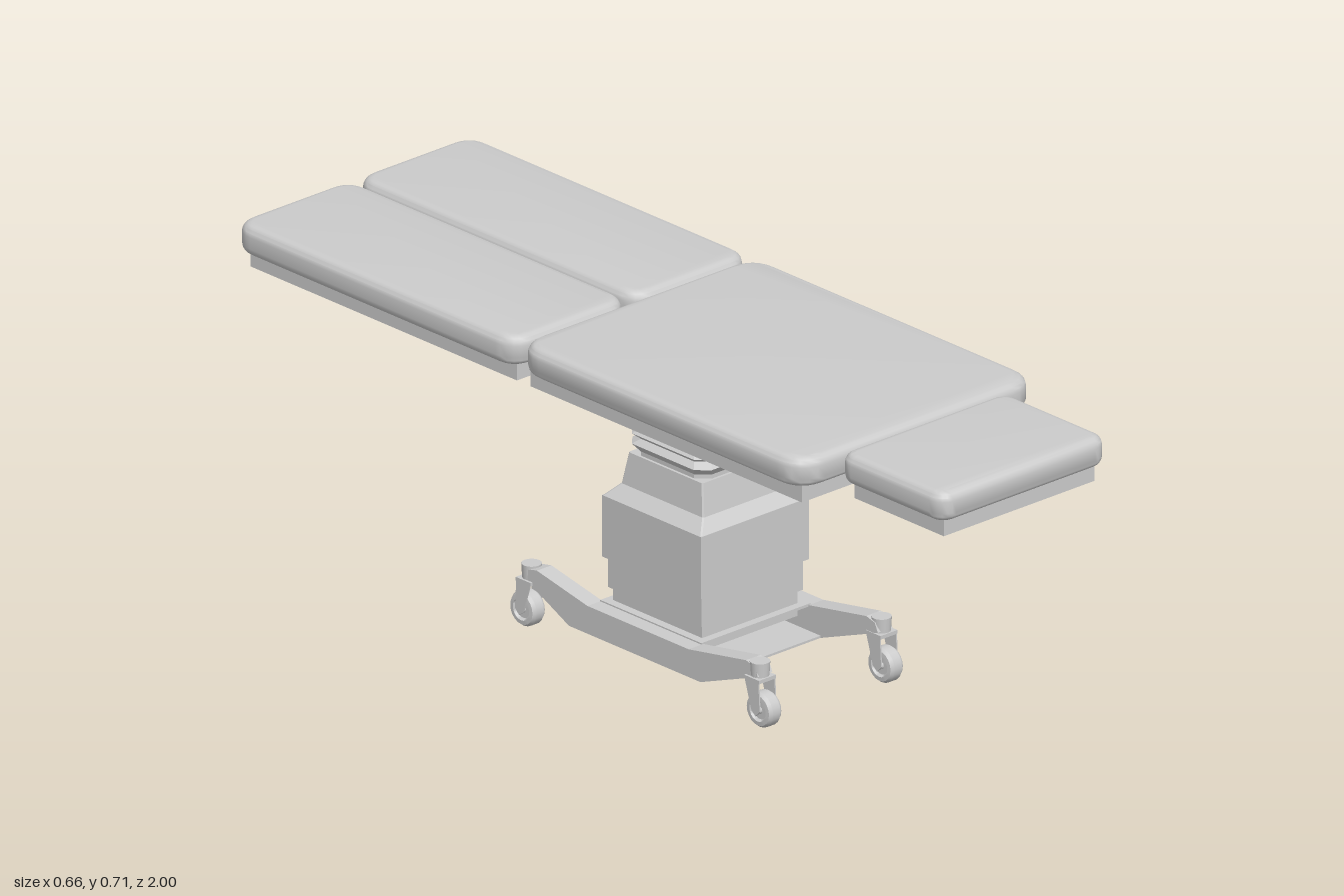
import * as THREE from 'three';
import { toCreasedNormals } from 'three/addons/utils/BufferGeometryUtils.js';

const grey = new THREE.MeshStandardMaterial({ color: 0xcccccc, side: THREE.DoubleSide });

function add(parent, name, geometry, x = 0, y = 0, z = 0) {
  const mesh = new THREE.Mesh(geometry, grey);
  mesh.name = name;
  mesh.position.set(x, y, z);
  parent.add(mesh);
  return mesh;
}

// Box given by its limits on each axis
function block(parent, name, [x0, x1], [y0, y1], [z0, z1]) {
  return add(parent, name, new THREE.BoxGeometry(x1 - x0, y1 - y0, z1 - z0),
    (x0 + x1) / 2, (y0 + y1) / 2, (z0 + z1) / 2);
}

// Rounded pad lying flat, with a soft bevelled rim
function cushion(parent, name, [x0, x1], [z0, z1], radius) {
  const bevel = 0.02, y0 = 0.645, y1 = 0.71;
  const a = (x1 - x0) / 2 - bevel, b = (z1 - z0) / 2 - bevel, r = radius;
  const s = new THREE.Shape();
  s.moveTo(-a + r, -b);
  s.lineTo(a - r, -b); s.quadraticCurveTo(a, -b, a, -b + r);
  s.lineTo(a, b - r); s.quadraticCurveTo(a, b, a - r, b);
  s.lineTo(-a + r, b); s.quadraticCurveTo(-a, b, -a, b - r);
  s.lineTo(-a, -b + r); s.quadraticCurveTo(-a, -b, -a + r, -b);
  const g = new THREE.ExtrudeGeometry(s, {
    depth: y1 - y0 - 2 * bevel, bevelThickness: bevel, bevelSize: bevel, bevelSegments: 4, curveSegments: 6
  });
  g.rotateX(-Math.PI / 2);
  add(parent, name, toCreasedNormals(g, 0.7), (x0 + x1) / 2, y0 + bevel, (z0 + z1) / 2);
}

// Flat-sided loft through rectangular sections [y, halfX, halfZ] with cut corners
function loft(parent, name, sections, cut, z) {
  const pos = [], index = [];
  const ring = (hx, hz) => {
    const p = [];
    for (const [sx, sz] of [[1, 1], [1, -1], [-1, -1], [-1, 1]]) {
      const alongX = [sx * (hx - cut), sz * hz], alongZ = [sx * hx, sz * (hz - cut)];
      if (!cut) p.push([sx * hx, sz * hz]);
      else p.push(...(sx * sz > 0 ? [alongX, alongZ] : [alongZ, alongX]));
    }
    return p;
  };
  const n = cut ? 8 : 4;
  for (const [y, hx, hz] of sections) for (const [px, pz] of ring(hx, hz)) pos.push(px, y, pz);
  for (let k = 0; k < sections.length - 1; k++) {
    for (let i = 0; i < n; i++) {
      const a = k * n + i, b = k * n + (i + 1) % n;
      index.push(a, b, b + n, a, b + n, a + n);
    }
  }
  const top = (sections.length - 1) * n;
  for (let i = 1; i < n - 1; i++) index.push(0, i + 1, i, top, top + i, top + i + 1);
  const g = new THREE.BufferGeometry();
  g.setAttribute('position', new THREE.Float32BufferAttribute(pos, 3));
  g.setIndex(index);
  const flat = g.toNonIndexed();
  flat.computeVertexNormals();
  add(parent, name, flat, 0, 0, z);
}

// Profile in z and y, given thickness across x
function sideProfile(points, x0, x1) {
  const s = new THREE.Shape(points.map(([z, y]) => new THREE.Vector2(z, y)));
  const g = new THREE.ExtrudeGeometry(s, { depth: x1 - x0, bevelEnabled: false });
  g.rotateY(-Math.PI / 2);
  g.translate(x1, 0, 0);
  return g;
}

function caster(x, z, dir) {
  const c = new THREE.Group();
  c.name = 'caster';
  // Tyre with rounded shoulders
  const tyre = new THREE.LatheGeometry([
    [0.001, -0.012], [0.02, -0.012], [0.024, -0.018], [0.033, -0.017], [0.038, -0.01],
    [0.038, 0.01], [0.033, 0.017], [0.024, 0.018], [0.02, 0.012], [0.001, 0.012]
  ].map(p => new THREE.Vector2(...p)), 20);
  tyre.rotateZ(Math.PI / 2);
  add(c, 'wheel', toCreasedNormals(tyre, 0.7), 0, 0.038, dir * 0.012);
  const axle = new THREE.CylinderGeometry(0.008, 0.008, 0.046, 10);
  axle.rotateZ(Math.PI / 2);
  add(c, 'axle', axle, 0, 0.038, dir * 0.012);
  // Fork, leaning outward to the axle
  const cheek = [[-0.022, 0.107], [0.02, 0.107], [0.024, 0.04], [0.012, 0.027], [0, 0.036]]
    .map(([pz, py]) => [pz * dir, py]);
  for (const s of [-1, 1]) add(c, 'forkCheek', sideProfile(cheek, s * 0.022 - 0.0015, s * 0.022 + 0.0015));
  block(c, 'forkBridge', [-0.0235, 0.0235], [0.1, 0.108], [-0.022, 0.022]);
  add(c, 'swivelCup', new THREE.CylinderGeometry(0.021, 0.019, 0.034, 16), 0, 0.122, 0);
  c.position.set(x, 0, z);
  return c;
}

export function createModel() {
  const model = new THREE.Group();
  model.name = 'treatmentTable';

  // Cushions
  cushion(model, 'headCushion', [-0.23, 0.23], [0.69, 1], 0.02);
  cushion(model, 'seatCushion', [-0.328, 0.328], [-0.16, 0.685], 0.05);
  cushion(model, 'leftLegCushion', [0.005, 0.328], [-1, -0.165], 0.035);
  cushion(model, 'rightLegCushion', [-0.328, -0.005], [-1, -0.165], 0.035);

  // Boards under the cushions
  const boardY = [0.61, 0.648];
  block(model, 'headBoard', [-0.207, 0.207], boardY, [0.715, 0.98]);
  block(model, 'seatBoard', [-0.3, 0.3], boardY, [-0.145, 0.66]);
  block(model, 'leftLegBoard', [0.03, 0.3], boardY, [-0.975, -0.185]);
  block(model, 'rightLegBoard', [-0.3, -0.03], boardY, [-0.975, -0.185]);

  // Hinges between sections
  const hinge = (x, z, w) => add(model, 'hinge', sideProfile(
    [[z - 0.035, 0.622], [z, 0.614], [z + 0.035, 0.622], [z, 0.632]], x - w / 2, x + w / 2));
  hinge(0, 0.688, 0.24);
  hinge(0.17, -0.165, 0.1);
  hinge(-0.17, -0.165, 0.1);
  add(model, 'hingePin', new THREE.CylinderGeometry(0.014, 0.014, 0.05, 12), 0, 0.635, -0.185);

  // Tapered frame carrying the seat
  loft(model, 'seatFrame', [[0.553, 0.175, 0.3], [0.61, 0.18, 0.303]], 0, 0.198);

  // Lifting column: bellows, neck, housings
  const bellows = [[0.43, 0.104, 0.104], [0.446, 0.104, 0.104]];
  for (let i = 0; i < 4; i++) {
    const y = 0.463 + i * 0.0225;
    bellows.push([y, 0.117, 0.117], [y + 0.011, 0.104, 0.104]);
  }
  bellows.push([0.556, 0.104, 0.104]);
  loft(model, 'bellows', bellows, 0.025, 0.05);
  loft(model, 'columnNeck', [[0.341, 0.148, 0.147], [0.368, 0.119, 0.122], [0.437, 0.11, 0.11]], 0.003, 0.05);
  loft(model, 'upperHousing', [[0.207, 0.148, 0.147], [0.342, 0.148, 0.147]], 0, 0.05);
  loft(model, 'middleHousing', [[0.14, 0.139, 0.139], [0.207, 0.139, 0.139]], 0, 0.05);
  loft(model, 'lowerHousing', [[0.083, 0.131, 0.132], [0.14, 0.131, 0.132]], 0, 0.05);

  // Small lever blade behind the column
  const blade = new THREE.CylinderGeometry(0.03, 0.03, 0.003, 3);
  blade.scale(0.8, 1, 1);
  add(model, 'leverBlade', blade, 0, 0.275, -0.185);

  // Base: thin deck and floor between two raised side beams
  block(model, 'baseFloor', [-0.15, 0.15], [0.047, 0.052], [-0.155, 0.235]);
  block(model, 'baseDeck', [-0.15, 0.15], [0.105, 0.111], [-0.1, 0.2]);
  const beam = [[0.405, 0.112], [0.395, 0.132], [0.37, 0.138], [0.2, 0.108], [-0.1, 0.108],
    [-0.25, 0.138], [-0.28, 0.132], [-0.29, 0.112], [-0.155, 0.047], [0.235, 0.047]];
  for (const s of [-1, 1]) {
    add(model, 'sideBeam', sideProfile(beam, s * 0.165 - 0.02, s * 0.165 + 0.02));
    model.add(caster(s * 0.167, 0.392, 1), caster(s * 0.167, -0.285, -1));
  }
  return model;
}
